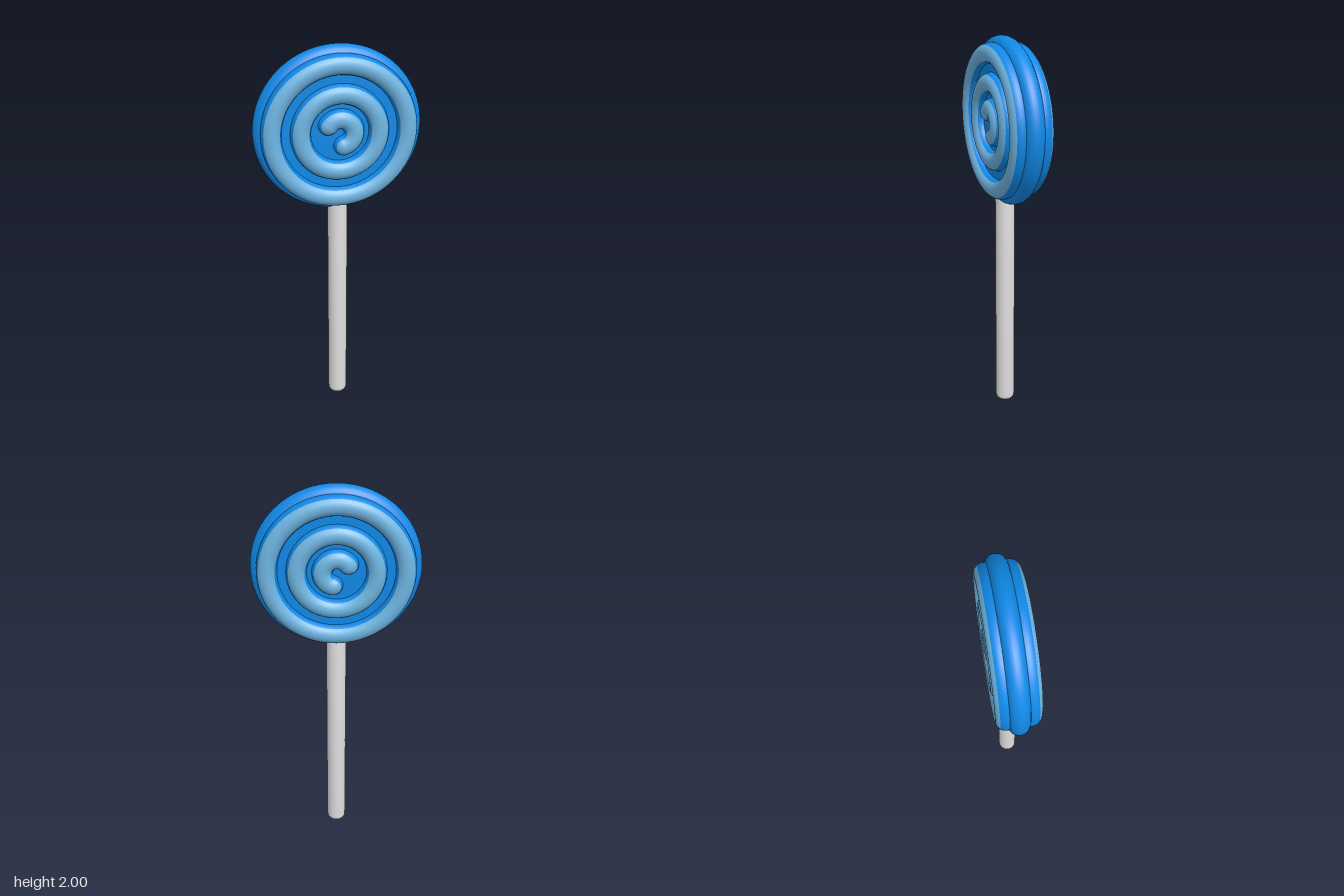
import * as THREE from 'three';

const CENTRE_Y = 1.583, TUBE = 0.05, TUBE_Z = 0.057;
const CAP = THREE.MathUtils.degToRad(52); // half angle of the pale crest of each coil
const rad = THREE.MathUtils.degToRad;

const candyBlue = new THREE.MeshStandardMaterial({ color: 0x1089e8 });
candyBlue.name = 'candyBlue';
const paleBlue = new THREE.MeshStandardMaterial({ color: 0x6fb5e2 });
paleBlue.name = 'paleBlue';
const stickWhite = new THREE.MeshStandardMaterial({ color: 0xdedede });
stickWhite.name = 'stickWhite';

function add(parent, name, geometry, material) {
  const mesh = new THREE.Mesh(geometry, material);
  mesh.name = name;
  parent.add(mesh);
  return mesh;
}

// Points on the coil's round section, from angle a to angle b
function sectionArc(radius, a, b, n) {
  return Array.from({ length: n + 1 }, (_, i) => {
    const t = a + (b - a) * i / n;
    return new THREE.Vector2(radius + TUBE * Math.cos(t), TUBE_Z + TUBE * Math.sin(t));
  });
}

// A coil with blue flanks and a pale crest
function addCoil(parent, name, radius, phi, length) {
  const top = Math.PI / 2;
  const strips = [
    ['OuterFlank', -0.6, top - CAP, candyBlue],
    ['Crest', top - CAP, top + CAP, paleBlue],
    ['InnerFlank', top + CAP, Math.PI + 0.6, candyBlue],
  ];
  for (const [part, a, b, material] of strips) {
    const n = Math.max(24, Math.round(length * 14));
    add(parent, name + part, new THREE.LatheGeometry(sectionArc(radius, a, b, 10), n, phi, length), material);
  }
}

// Rounded end of a coil
function addCoilEnd(parent, name, radius, phi) {
  const spans = [['Crest', 0, CAP, paleBlue], ['Flank', CAP, Math.PI - CAP, candyBlue]];
  for (const [part, start, length, material] of spans) {
    const end = add(parent, name + part,
      new THREE.SphereGeometry(TUBE, 24, 10, 0, Math.PI * 2, start, length), material);
    end.position.set(radius * Math.sin(phi), TUBE_Z, radius * Math.cos(phi));
  }
}

export function createModel() {
  const model = new THREE.Group();
  model.name = 'lollipop';

  const candy = new THREE.Group();
  candy.name = 'candy';
  candy.position.y = CENTRE_Y;
  model.add(candy);

  // Blue core and the rounded rim around it
  add(candy, 'candyCore', new THREE.CylinderGeometry(0.38, 0.38, 0.12, 72), candyBlue).rotation.x = Math.PI / 2;
  add(candy, 'candyRim', new THREE.TorusGeometry(0.367, TUBE, 24, 96), candyBlue);

  // Coils on both faces, with a hooked curl in the middle
  for (const side of [1, -1]) {
    const face = new THREE.Group();
    face.name = side > 0 ? 'frontSwirl' : 'backSwirl';
    face.rotation.x = side * Math.PI / 2;
    candy.add(face);
    addCoil(face, 'outerCoil', 0.335, 0, Math.PI * 2);
    addCoil(face, 'middleCoil', 0.193, 0, Math.PI * 2);
    const start = side > 0 ? rad(15) : rad(-55), length = rad(220);
    addCoil(face, 'centreCurl', 0.07, start, length);
    addCoilEnd(face, 'curlStart', 0.07, start);
    addCoilEnd(face, 'curlTip', 0.07, start + length);
  }

  // Stick with a softly rounded foot
  const profile = [[0, 0], [0.03, 0.003], [0.041, 0.009], [0.048, 0.019], [0.05, 0.032], [0.05, 1.2], [0, 1.2]];
  add(model, 'stick', new THREE.LatheGeometry(profile.map(([x, y]) => new THREE.Vector2(x, y)), 32), stickWhite);

  return model;
}
